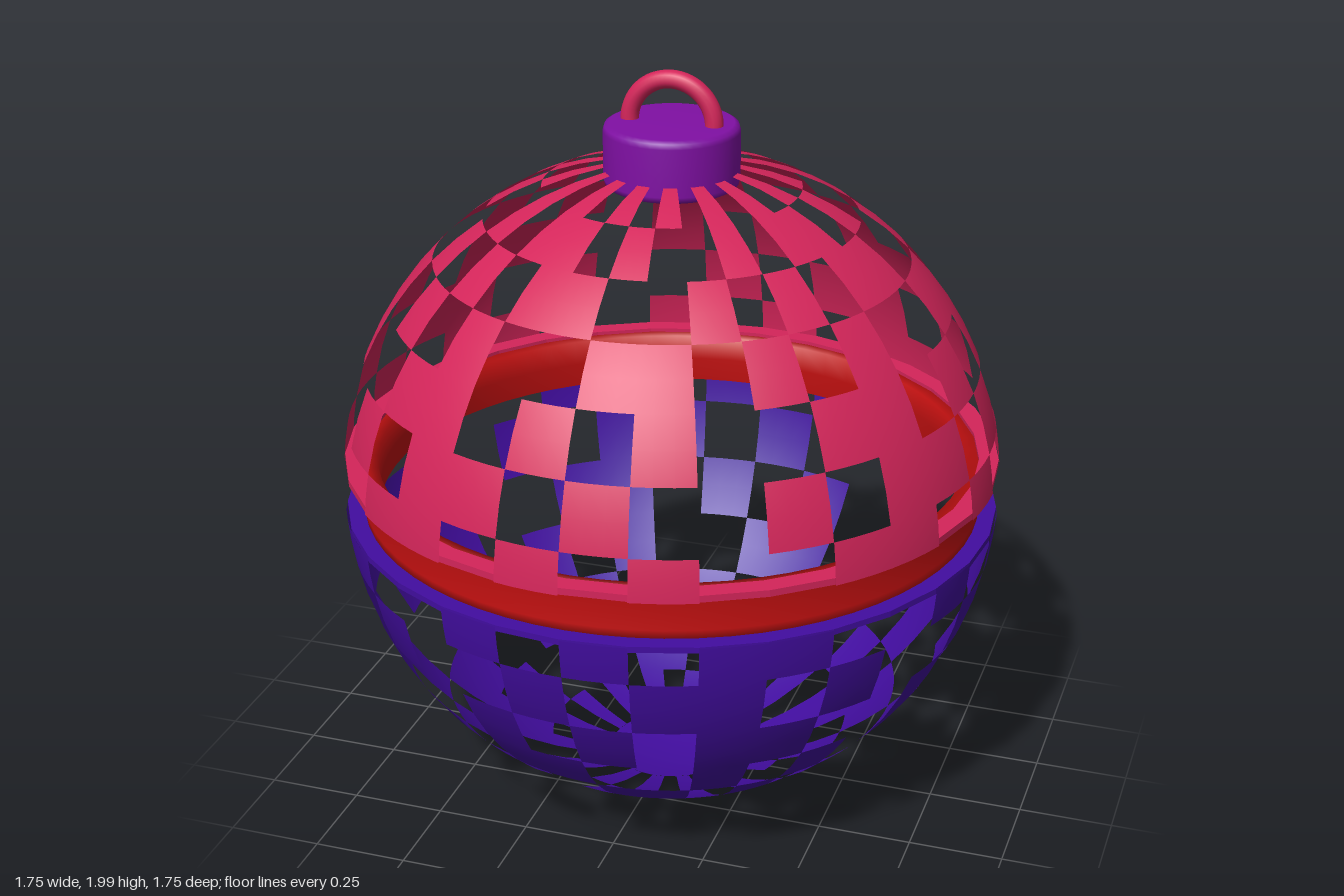
import * as THREE from 'three';
import { mergeGeometries } from 'three/addons/utils/BufferGeometryUtils.js';

const R = 0.877, CY = 0.887, STEP = Math.PI / 16, RIM = 0.07;

// Panels (1) and gaps (0) over an eighth of the globe: rows climb from the
// equator, columns run from the front axis to the diagonal.
const PATTERN = ['0100', '1001', '0100', '1101', '0010', '1001', '0101'];

// The pattern inverts across every axis and diagonal and flips between halves.
function isPanel(row, col, upper) {
  let c = col % 8, on;
  if (c < 4) on = PATTERN[row][c] === '1';
  else on = PATTERN[row][7 - c] !== '1';
  return on === upper;
}

// One half of the globe as a lattice of curved panels
function shellGeometry(upper) {
  const cells = [];
  for (let row = 0; row < 7; row++) {
    const lat0 = row === 0 ? RIM : row * STEP;
    const lat1 = (row + 1) * STEP;
    const polar = upper ? Math.PI / 2 - lat1 : Math.PI / 2 + lat0;
    for (let col = 0; col < 32; col++) {
      if (!isPanel(row, col, upper)) continue;
      cells.push(new THREE.SphereGeometry(R, 1, 1,
        Math.PI / 2 + col * STEP, STEP, polar, lat1 - lat0));
    }
  }
  return mergeGeometries(cells);
}

// Closed ring with a small rectangular section
function ringGeometry(inner, outer, y0, y1, segments) {
  const p = [[inner, y0], [outer, y0], [outer, y1], [inner, y1], [inner, y0]]
    .map(([x, y]) => new THREE.Vector2(x, y));
  const g = new THREE.LatheGeometry(p, segments).toNonIndexed();
  g.computeVertexNormals();
  return g;
}

export function createModel() {
  const make = (name, color) => {
    const m = new THREE.MeshStandardMaterial({ color, side: THREE.DoubleSide });
    m.name = name;
    return m;
  };
  const pink = make('pink', 0xd4255a);
  const indigo = make('indigo', 0x420da0);
  const purple = make('purple', 0x8010a4);
  const red = make('red', 0xc01010);

  const group = new THREE.Group();
  group.name = 'ornament';
  const add = (name, geometry, material, y = 0) => {
    const mesh = new THREE.Mesh(geometry, material);
    mesh.name = name;
    mesh.position.y = y;
    group.add(mesh);
    return mesh;
  };

  // Lattice halves
  add('upperShell', shellGeometry(true), pink, CY);
  add('lowerShell', shellGeometry(false), indigo, CY);
  add('bottomDisc', new THREE.SphereGeometry(R, 32, 1, 0, Math.PI * 2,
    Math.PI - STEP, STEP), indigo, CY);

  // Rims where the halves meet the band
  add('upperRim', ringGeometry(0.82, 0.872, 0.95, 0.968, 32), pink);
  add('lowerRim', ringGeometry(0.82, 0.872, 0.812, 0.828, 32), indigo);

  // Middle band, slightly waisted
  const band = [[0.785, 0.82], [0.825, 0.82], [0.827, 0.85], [0.82, 0.889],
    [0.827, 0.93], [0.825, 0.958], [0.785, 0.958], [0.78, 0.889], [0.785, 0.82]];
  add('middleBand', new THREE.LatheGeometry(
    band.map(([x, y]) => new THREE.Vector2(x, y)), 64), red);

  // Cap with softened edges
  const cap = [[0, 1.7], [0.16, 1.7], [0.172, 1.706], [0.176, 1.72],
    [0.176, 1.845], [0.172, 1.858], [0.16, 1.865], [0, 1.865]];
  add('cap', new THREE.LatheGeometry(
    cap.map(([x, y]) => new THREE.Vector2(x, y)), 40), purple);

  // Hanging loop
  add('hangingLoop', new THREE.TorusGeometry(0.113, 0.024, 14, 32, Math.PI), pink, 1.863);

  return group;
}
